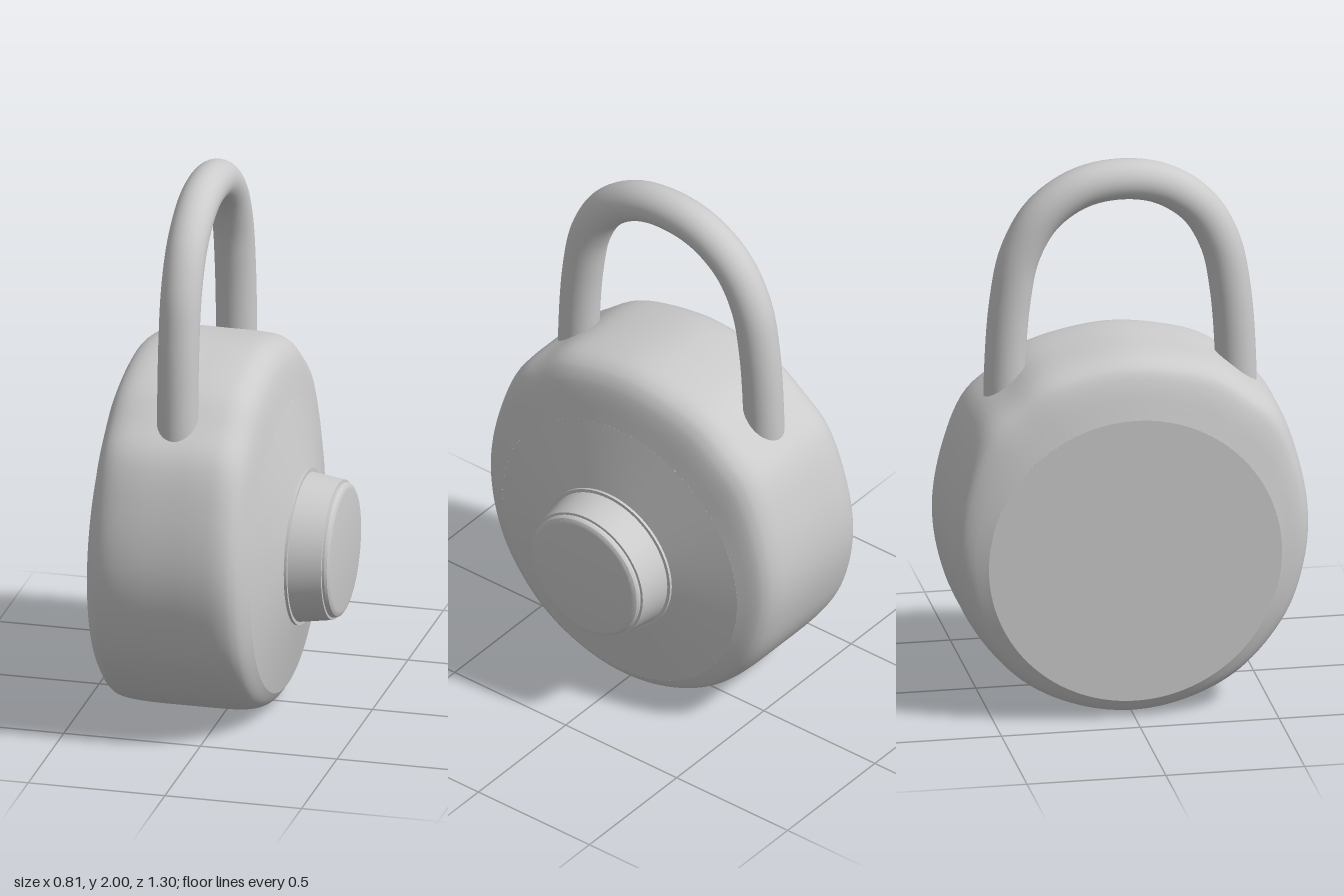
import * as THREE from 'three';
import { toCreasedNormals } from 'three/addons/utils/BufferGeometryUtils.js';

const AXIS_Y = 0.595; // height of the dial axis, which runs along x
const FACE_R = 0.528; // radius of the flat back and of the face plate

const material = new THREE.MeshStandardMaterial({ color: 0xcccccc });

function addMesh(group, name, geometry) {
  const mesh = new THREE.Mesh(geometry, material);
  mesh.name = name;
  group.add(mesh);
  return mesh;
}

// Turned part around the dial axis; profile is [radius, x] from back to front
function turned(profile) {
  const points = profile.map(([r, x]) => new THREE.Vector2(r, x));
  const geometry = new THREE.LatheGeometry(points, 96);
  geometry.rotateZ(-Math.PI / 2);
  geometry.translate(0, AXIS_Y, 0);
  return toCreasedNormals(geometry, 0.4);
}

// Body shell: round end faces swelling into the shouldered outline between them
function bodyShell() {
  const half = [[0.2, 1.308], [0.33, 1.265], [0.43, 1.19], [0.536, 1.095], [0.615, 0.894],
    [0.648, 0.68], [0.626, 0.496], [0.562, 0.326], [0.4, 0.135], [0.217, 0.038]];
  const mirrored = half.map(([z, y]) => [-z, y]).reverse();
  const outline = new THREE.CatmullRomCurve3(
    [[0, 1.335], ...half, [0, 0], ...mirrored].map(([z, y]) => new THREE.Vector3(0, y, z)), true
  ).getSpacedPoints(128).slice(0, 128);

  // [x, swell]: 0 is the round face, 1 the full outline
  const swell = new THREE.CatmullRomCurve3(
    [[-0.408, 0], [-0.37, 0.67], [-0.34, 0.86], [-0.29, 0.96], [-0.22, 1], [-0.1, 1], [0, 1],
      [0.07, 0.975], [0.115, 0.89], [0.145, 0.74], [0.165, 0.52], [0.19, 0]]
      .map(([x, t]) => new THREE.Vector3(x, t, 0))
  ).getPoints(44);

  const positions = [];
  const index = [];
  const n = outline.length;
  swell.forEach(({ x, y: t }, i) => {
    outline.forEach((p, j) => {
      const dy = p.y - AXIS_Y;
      const scale = THREE.MathUtils.lerp(FACE_R / Math.hypot(dy, p.z), 1, t);
      positions.push(x, AXIS_Y + dy * scale, p.z * scale);
      if (i < swell.length - 1) {
        const k = (j + 1) % n;
        const a = i * n + j, b = i * n + k;
        index.push(a, b, a + n, b, b + n, a + n);
      }
    });
  });
  const geometry = new THREE.BufferGeometry();
  geometry.setAttribute('position', new THREE.Float32BufferAttribute(positions, 3));
  geometry.setIndex(index);
  geometry.computeVertexNormals();
  return geometry;
}

export function createModel() {
  const group = new THREE.Group();
  group.name = 'padlock';

  addMesh(group, 'body', bodyShell());

  // Flat back closing the shell
  const back = new THREE.CircleGeometry(FACE_R, 128);
  back.rotateY(-Math.PI / 2);
  back.translate(-0.408, AXIS_Y, 0);
  addMesh(group, 'backPlate', back);

  // Shallow cone and collar around the dial
  addMesh(group, 'facePlate', turned([[FACE_R, 0.19], [0.28, 0.248], [0.28, 0.258], [0.2, 0.258]]));

  // Tapered dial grip
  addMesh(group, 'dial', turned([[0.268, 0.255], [0.25, 0.376], [0.23, 0.378]]));

  // Dial cap with a rounded rim
  addMesh(group, 'dialCap', turned([[0.241, 0.37], [0.241, 0.385], [0.237, 0.394],
    [0.229, 0.399], [0.218, 0.401], [0, 0.401]]));

  // Shackle: two legs sunk into the body, joined by an arch
  const leg = [[0.417, 1.0], [0.417, 1.2], [0.397, 1.49], [0.36, 1.67], [0.28, 1.81], [0.15, 1.9]];
  const path = new THREE.CatmullRomCurve3(
    [...leg, [0, 1.927], ...leg.map(([z, y]) => [-z, y]).reverse()]
      .map(([z, y]) => new THREE.Vector3(-0.105, y, z))
  );
  addMesh(group, 'shackle', new THREE.TubeGeometry(path, 96, 0.073, 32));

  return group;
}
